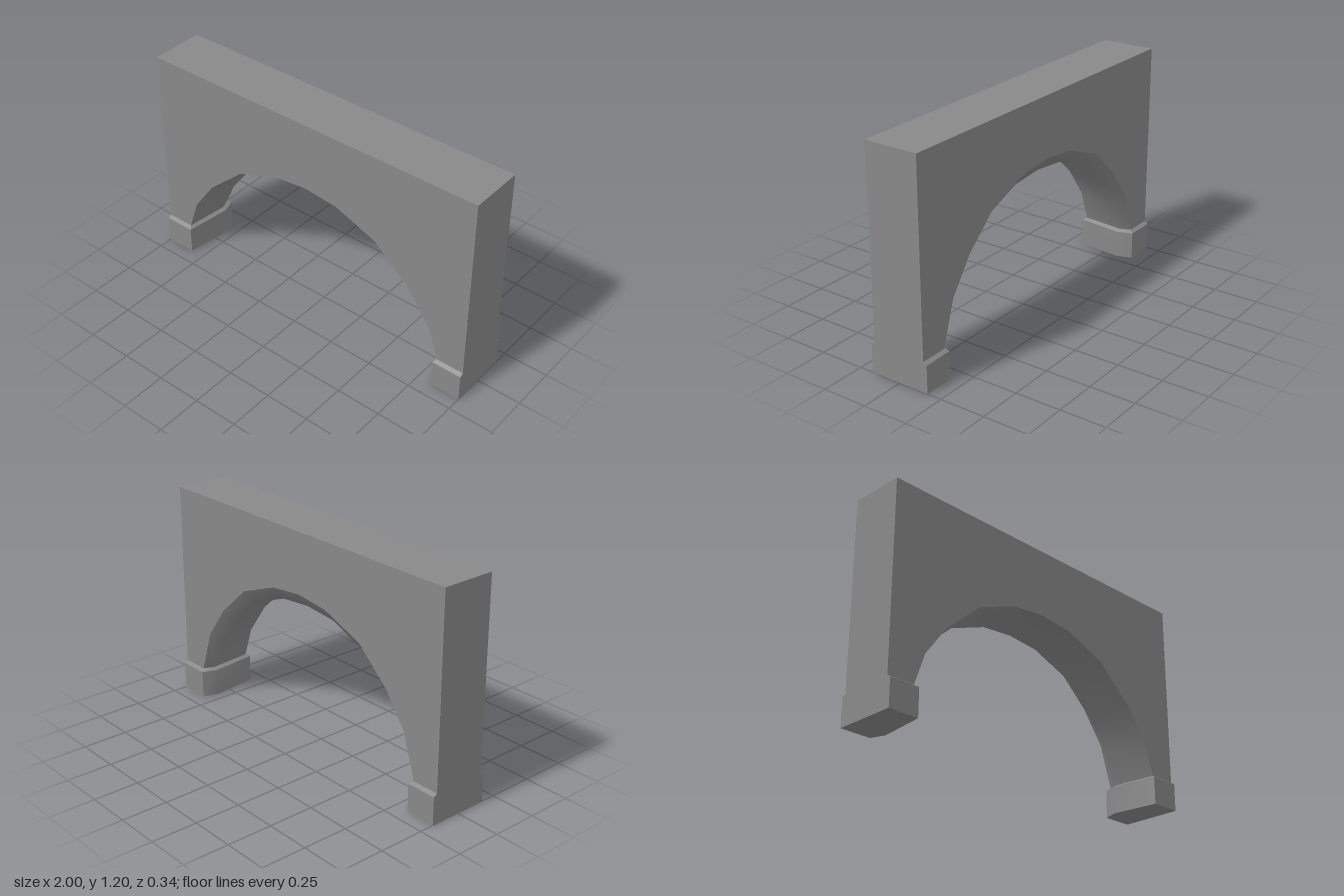
import * as THREE from 'three';
import { toCreasedNormals } from 'three/addons/utils/BufferGeometryUtils.js';

const FOOT_TOP = 0.165;   // where the wall starts
const HALF = 0.15;        // half thickness of the wall
const RIDGE = -0.09;      // z of the ridge running under the arch

// Half profiles from springing to crown: front edge, inner ridge, back edge.
const FRONT = [[0.845, FOOT_TOP], [0.785, 0.34], [0.655, 0.52], [0.44, 0.71], [0.195, 0.803], [0, 0.822]];
const INNER = [[0.82, FOOT_TOP], [0.73, 0.35], [0.61, 0.51], [0.415, 0.687], [0.19, 0.773], [0, 0.79]];
const BACK = [[0.845, FOOT_TOP], [0.77, 0.4], [0.64, 0.58], [0.45, 0.752], [0.2, 0.847], [0, 0.868]];

// Full arch line from -x to +x.
const mirrorArch = (half) => [
  ...half.map(([x, y]) => [-x, y]),
  ...half.slice(0, -1).reverse(),
];

// Skin over rows of points; loops may be closed and capped underneath.
function loft(rows, { closed = false, crease = 0.6 } = {}) {
  const n = rows[0].length;
  const index = [];
  for (let r = 0; r < rows.length - 1; r++) {
    for (let i = 0; i < (closed ? n : n - 1); i++) {
      const j = (i + 1) % n;
      const a = r * n + i, b = r * n + j, c = b + n, d = a + n;
      index.push(a, b, c, a, c, d);
    }
  }
  if (closed) for (let i = 1; i < n - 1; i++) index.push(0, i + 1, i);
  const geometry = new THREE.BufferGeometry();
  geometry.setAttribute('position', new THREE.Float32BufferAttribute(rows.flat(2), 3));
  geometry.setIndex(index);
  return toCreasedNormals(geometry, crease);
}

export function createModel() {
  const model = new THREE.Group();
  model.name = 'archway';
  const material = new THREE.MeshStandardMaterial({ color: 0x888888 });
  const add = (geometry, name) => {
    const mesh = new THREE.Mesh(geometry, material);
    mesh.name = name;
    model.add(mesh);
    return mesh;
  };
  const atZ = (points, z) => points.map(([x, y]) => [x, y, z]);

  // Front and back faces of the wall
  const outer = [[1, FOOT_TOP], [1, 1.2], [-1, 1.2], [-1, FOOT_TOP]];
  const wallFace = (half) => new THREE.ShapeGeometry(
    new THREE.Shape([...outer, ...mirrorArch(half)].map(([x, y]) => new THREE.Vector2(x, y))),
  );
  add(wallFace(FRONT), 'wallFront').position.z = HALF;
  const back = add(wallFace(BACK), 'wallBack');
  back.position.z = -HALF;
  back.rotation.y = Math.PI;

  // Ends and top of the wall
  add(loft([atZ(outer, -HALF), atZ(outer, HALF)]), 'wallEndsAndTop');

  // Underside of the arch, smoothly swelling to an off-centre ridge
  add(loft([
    atZ(mirrorArch(BACK), -HALF),
    atZ(mirrorArch(INNER), RIDGE),
    atZ(mirrorArch(FRONT), HALF),
  ], { crease: 1.3 }), 'archUnderside');

  // Feet with a sloped top edge
  const ring = (half, inner, ridge, y) => [
    [1, y, half], [1, y, -half], [inner, y, -half], [ridge, y, RIDGE], [inner, y, half],
  ];
  for (const side of [1, -1]) {
    const rows = [
      ring(0.17, 0.83, 0.8, 0),
      ring(0.17, 0.83, 0.8, 0.152),
      ring(HALF, FRONT[0][0], INNER[0][0], FOOT_TOP),
    ].map((row) => {
      const placed = row.map(([x, y, z]) => [x * side, y, z]);
      return side > 0 ? placed : placed.reverse();
    });
    add(loft(rows, { closed: true }), side > 0 ? 'leftFoot' : 'rightFoot');
  }
  return model;
}
